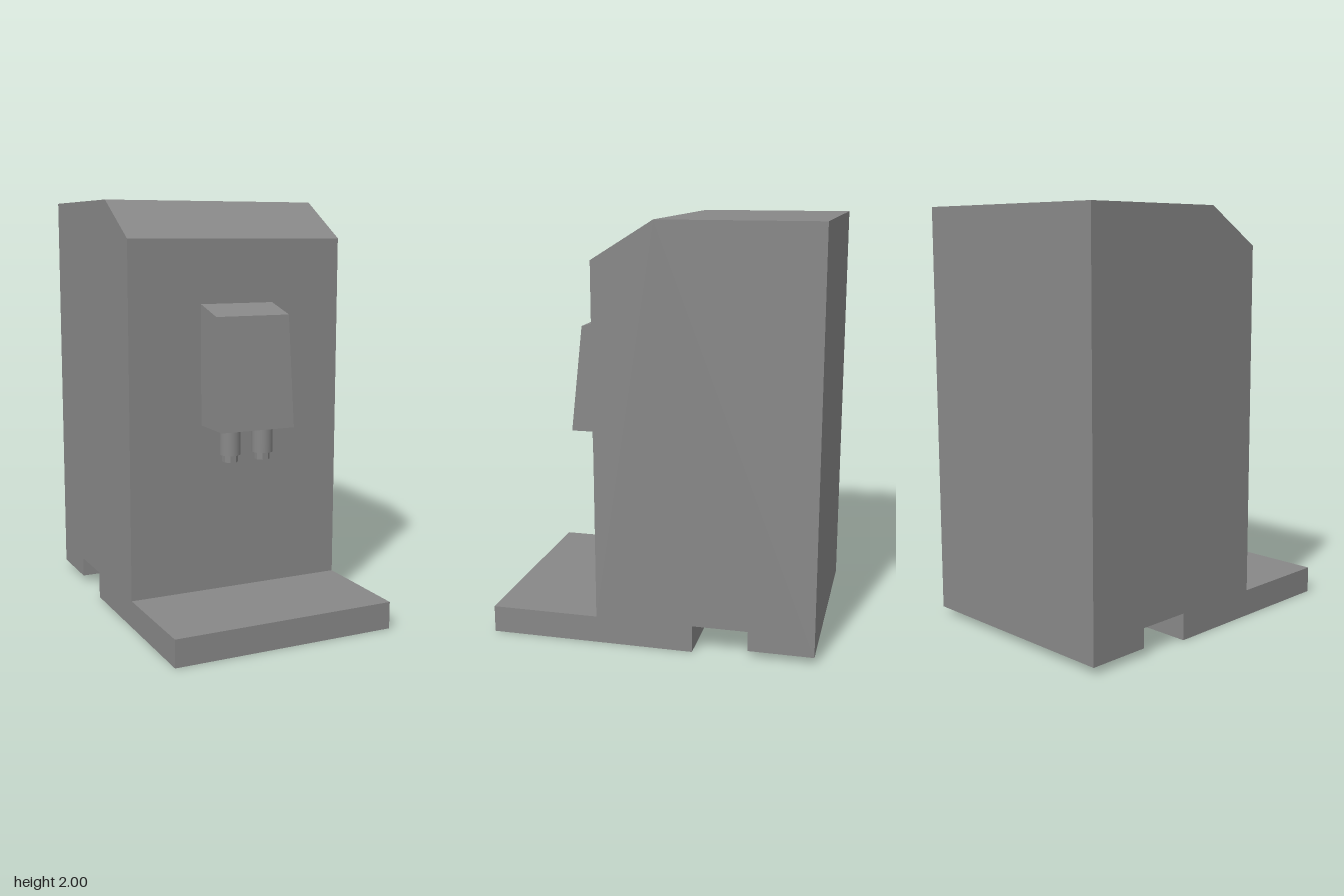
import * as THREE from 'three';
import { toCreasedNormals } from 'three/addons/utils/BufferGeometryUtils.js';

const material = new THREE.MeshStandardMaterial({ color: 0x888888 });

function addMesh(parent, name, geometry) {
  const mesh = new THREE.Mesh(geometry, material);
  mesh.name = name;
  parent.add(mesh);
  return mesh;
}

// Side profile given as [z, y] points, extruded across x and centred
function sideProfile(points, width) {
  const shape = new THREE.Shape(points.map(([z, y]) => new THREE.Vector2(z, y)));
  const geometry = new THREE.ExtrudeGeometry(shape, { depth: width, bevelEnabled: false });
  geometry.translate(0, 0, -width / 2);
  geometry.rotateY(-Math.PI / 2);
  return toCreasedNormals(geometry, 0.1);
}

// Shade the bend between the top and its slope evenly, along the bisecting normal
function smoothBend(geometry, [z, y], [slopeZ, slopeY]) {
  const { position, normal } = geometry.attributes;
  const half = Math.atan2(y - slopeY, slopeZ - z) / 2;
  for (let i = 0; i < position.count; i++) {
    const atBend = Math.hypot(position.getZ(i) - z, position.getY(i) - y) < 1e-4;
    if (atBend && Math.abs(normal.getX(i)) < 0.5) normal.setXYZ(i, 0, Math.cos(half), Math.sin(half));
  }
  return geometry;
}

export function createModel() {
  const model = new THREE.Group();
  model.name = 'dispenser';

  // Cabinet with front tray, sloped top edge and a channel under the back
  const bend = [-0.03, 2];
  const brow = [0.26, 1.82];
  const cabinet = sideProfile([
    [0.782, 0], [0.782, 0.13], [0.26, 0.13], brow, bend,
    [-0.782, 2], [-0.782, 0.035], [-0.472, 0.035], [-0.472, 0.13], [-0.208, 0.13], [-0.208, 0],
  ], 1.098);
  addMesh(model, 'cabinet', smoothBend(cabinet, bend, brow));

  // Wedge-shaped dispensing head on the front
  addMesh(model, 'dispensingHead', sideProfile([
    [0.26, 0.945], [0.487, 0.945], [0.427, 1.47], [0.26, 1.518],
  ], 0.374));

  // Pair of nozzles under the head, each a round barrel with an eight-sided tip
  const barrel = new THREE.CylinderGeometry(0.05, 0.05, 0.128, 32);
  const tip = toCreasedNormals(new THREE.CylinderGeometry(0.037, 0.037, 0.035, 8).rotateY(Math.PI / 8), 0.1);
  for (const side of [-1, 1]) {
    const nozzle = new THREE.Group();
    nozzle.name = side > 0 ? 'leftNozzle' : 'rightNozzle';
    nozzle.position.set(side * 0.085, 0, 0.362);
    addMesh(nozzle, 'nozzleBarrel', barrel).position.y = 0.881;
    addMesh(nozzle, 'nozzleTip', tip).position.y = 0.7995;
    model.add(nozzle);
  }

  return model;
}
